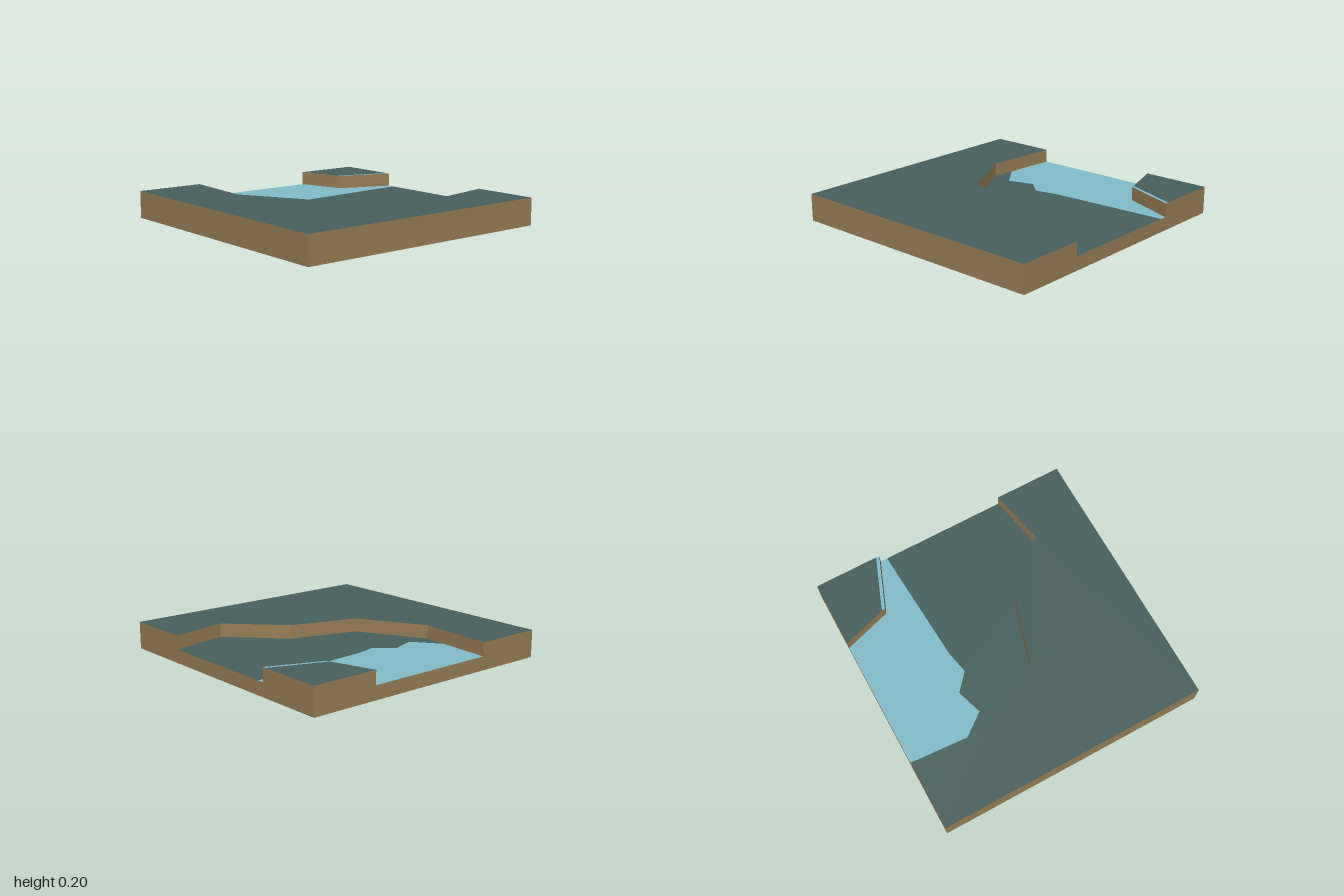
import * as THREE from 'three';

const grass = new THREE.MeshStandardMaterial({ name: 'grass', color: 0x47615e });
const water = new THREE.MeshStandardMaterial({ name: 'water', color: 0x82bccb });
const soil = new THREE.MeshStandardMaterial({ name: 'soil', color: 0x977d54 });

const FLOOR = 0.1, TOP = 0.2;

// All outlines are [x, z], counterclockwise seen from above
const square = [[-1, -1], [-1, 1], [1, 1], [1, -1]];
const bank = [[0.495, -1], [0.58, -0.58], [0.21, -0.22], [0.06, 0.27], [-0.425, 0.53], [-0.6, 0.518], [-1, 0.49]];
const plateau = [...bank, [-1, 1], [1, 1], [1, -1]];
const island = [[-1, -1], [-1, -0.5], [-0.647, -0.61], [-0.497, -1]];
const shore = [[-0.6, 0.518], [-0.405, 0.37], [-0.465, 0.18], [-0.355, 0.055], [-0.39, -0.11], [-0.445, -1]];

function flat(name, outline, y, material) {
  const shape = new THREE.Shape(outline.map(([x, z]) => new THREE.Vector2(x, -z)));
  const geometry = new THREE.ShapeGeometry(shape).rotateX(-Math.PI / 2).translate(0, y, 0);
  const mesh = new THREE.Mesh(geometry, material);
  mesh.name = name;
  return mesh;
}

// Vertical faces following an outline
function walls(name, outline, y0, y1) {
  const pos = [];
  outline.forEach(([ax, az], i) => {
    const [bx, bz] = outline[(i + 1) % outline.length];
    pos.push(ax, y0, az, bx, y0, bz, bx, y1, bz, ax, y0, az, bx, y1, bz, ax, y1, az);
  });
  const geometry = new THREE.BufferGeometry();
  geometry.setAttribute('position', new THREE.Float32BufferAttribute(pos, 3));
  geometry.computeVertexNormals();
  const mesh = new THREE.Mesh(geometry, soil);
  mesh.name = name;
  return mesh;
}

export function createModel() {
  const model = new THREE.Group();
  model.name = 'terrainTile';

  // Soil block
  const underside = flat('underside', square, 0, soil);
  underside.rotation.x = Math.PI;
  model.add(
    underside,
    walls('baseSides', square, 0, FLOOR),
    walls('plateauSides', plateau, FLOOR, TOP),
    walls('islandSides', island, FLOOR, TOP),
  );

  // Low valley: lake on one side, grass on the other
  model.add(
    flat('lake', [[-1, -0.5], [-1, 0.49], ...shore, [-0.497, -1], [-0.647, -0.61]], FLOOR, water),
    flat('valleyGrass', [...bank.slice(0, 6), ...shore.slice(1)], FLOOR, grass),
  );

  // Raised ground, with a strip of water along the island's edge
  model.add(
    flat('plateauGrass', plateau, TOP, grass),
    flat('islandGrass', [[-1, -1], [-1, -0.5], [-0.67, -0.603], [-0.668, -0.62], [-0.523, -1]], TOP, grass),
    flat('islandWater', [[-0.523, -1], [-0.668, -0.62], [-0.67, -0.603], [-0.647, -0.61], [-0.497, -1]], TOP, water),
  );
  return model;
}
